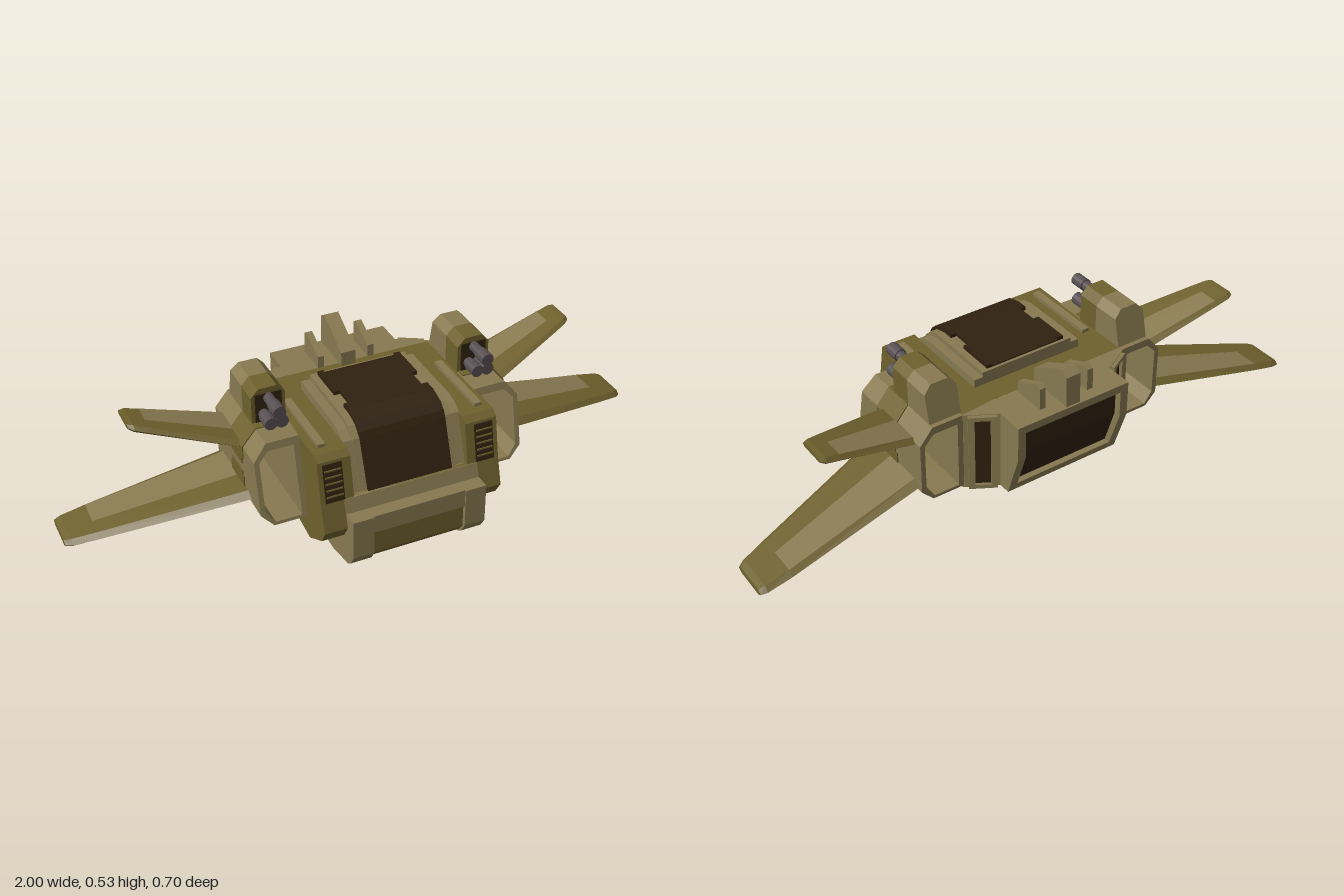
import * as THREE from 'three';

const mat = (name, color) => {
  const m = new THREE.MeshStandardMaterial({ color });
  m.name = name;
  return m;
};

const vec = pts => pts.map(p => new THREE.Vector2(...p));
const extrude = (shape, depth) => new THREE.ExtrudeGeometry(shape, { depth, bevelEnabled: false });

// Extrudes a [z, y] side profile across x0..x1
const prism = (points, x0, x1) =>
  extrude(new THREE.Shape(vec(points)), x1 - x0).rotateY(-Math.PI / 2).translate(x1, 0, 0);

// Box given by its minimum and maximum corners
const box = (x0, x1, y0, y1, z0, z1) => new THREE.BoxGeometry(x1 - x0, y1 - y0, z1 - z0)
  .translate((x0 + x1) / 2, (y0 + y1) / 2, (z0 + z1) / 2);

// Faceted copy, optionally mirrored to the other side
function faceted(geo, mirror) {
  const src = geo.index ? geo.toNonIndexed() : geo;
  const a = Float32Array.from(src.attributes.position.array);
  if (mirror) {
    for (let i = 0; i < a.length; i += 9) {
      for (let k = 0; k < 3; k++) {
        const t = a[i + 3 + k];
        a[i + 3 + k] = a[i + 6 + k];
        a[i + 6 + k] = t;
      }
      for (let k = 0; k < 9; k += 3) a[i + k] *= -1;
    }
  }
  const g = new THREE.BufferGeometry();
  g.setAttribute('position', new THREE.BufferAttribute(a, 3));
  src.groups.forEach(r => g.addGroup(r.start, r.count, r.materialIndex));
  g.computeVertexNormals();
  return g;
}

// Wing lofted through stations [x, y, zFront, zBack, thickness];
// material 0 on the leading edge, tip and underside, 1 on the rear upper skin
function wing(stations) {
  const ring = ([x, y, f, b, t]) => {
    const at = (u, v) => new THREE.Vector3(x, y + v * t, f + (b - f) * u);
    return [at(0, 0), at(0.1, 0.5), at(0.42, 0.5), at(0.9, 0.5), at(1, 0), at(0.9, -0.5), at(0.1, -0.5)];
  };
  const rings = stations.map(ring), n = 7, main = [], patch = [];
  for (let s = 0; s < rings.length - 1; s++) {
    for (let i = 0; i < n; i++) {
      const j = (i + 1) % n, out = i === 2 && s === 0 ? patch : main;
      const [a, b, c, d] = [rings[s][i], rings[s][j], rings[s + 1][j], rings[s + 1][i]];
      out.push(a, c, b, a, d, c);
    }
  }
  const first = rings[0], last = rings[rings.length - 1];
  for (let i = 1; i < n - 1; i++) {
    main.push(first[0], first[i], first[i + 1], last[0], last[i + 1], last[i]);
  }
  const g = new THREE.BufferGeometry().setFromPoints([...main, ...patch]);
  g.addGroup(0, main.length, 0);
  g.addGroup(main.length, patch.length, 1);
  return g;
}

export function createModel() {
  const olive = mat('olive', 0x6e602d), tan = mat('tan', 0x877950);
  const dark = mat('dark brown', 0x302110), steel = mat('gun grey', 0x574e51);
  const model = new THREE.Group();
  model.name = 'gunship';
  const add = (name, geo, material, mirror = false) => {
    const mesh = new THREE.Mesh(faceted(geo, mirror), material);
    mesh.name = name;
    model.add(mesh);
  };
  const pair = (name, geo, material) => {
    add(name + 'Left', geo, material);
    add(name + 'Right', geo, material, true);
  };

  // Hull: two cheeks with a lower middle that holds the canopy
  const belly = [[0.312, 0.165], [0.285, 0.12], [0.19, 0.065], [-0.03, 0.1], [-0.2, 0.13], [-0.2, 0.408]];
  pair('hullCheek', prism([[0.24, 0.408], [0.26, 0.39], [0.285, 0.26], ...belly], 0.192, 0.3), olive);
  add('hullMiddle', prism([[0.19, 0.408], [0.25, 0.256], [0.286, 0.256], ...belly], -0.192, 0.192), olive);
  add('noseLip', prism([[0.288, 0.256], [0.304, 0.205], [0.28, 0.205], [0.27, 0.256]], -0.225, 0.225), tan);
  pair('roofRail', box(0.25, 0.275, 0.4, 0.42, -0.06, 0.21), tan);

  // Canopy frame and glazing
  add('canopyFrame', prism([[0.272, 0.255], [0.216, 0.41], [0.184, 0.44],
    [0.14, 0.452], [-0.11, 0.452], [-0.11, 0.4], [0.19, 0.255]], -0.165, 0.165), tan);
  pair('canopyShoulder', prism([[0.27, 0.255], [0.213, 0.408], [0.18, 0.428], [0.14, 0.436],
    [-0.11, 0.436], [-0.11, 0.4], [0.19, 0.255]], 0.16, 0.195), tan);
  const glass = [[0.28, 0.256], [0.224, 0.41], [0.213, 0.43], [0.19, 0.45], [0.14, 0.464]];
  add('canopy', prism([...glass, [-0.07, 0.464], [-0.1, 0.456], [-0.1, 0.44], [0.16, 0.4], [0.25, 0.256]],
    -0.122, 0.122), dark);
  pair('canopyEdgeFront', prism([...glass, [0.1, 0.464], [0.1, 0.44], [0.16, 0.4], [0.25, 0.256]], 0.122, 0.142), dark);
  pair('canopyEdgeRear', box(0.122, 0.142, 0.44, 0.464, -0.1, 0.03), dark);

  // Slatted intakes on the nose
  pair('noseVent', prism([[0.265, 0.382], [0.289, 0.258], [0.28, 0.258], [0.255, 0.382]], 0.222, 0.284), dark);
  for (let i = 0; i < 5; i++) {
    const y = 0.275 + i * 0.021, z = 0.288 - (y - 0.26) * 0.19;
    pair('noseSlat' + i, box(0.226, 0.28, y, y + 0.005, z - 0.01, z + 0.003), olive);
  }

  // Chin: outer runners with a recessed middle
  pair('chinRunner', prism([[0.352, 0.21], [0.352, 0.075], [0.33, 0.04], [0.31, 0.025], [0.2, 0.002],
    [0.13, 0.004], [-0.04, 0.05], [-0.04, 0.11], [0.1, 0.21]], 0.155, 0.225), tan);
  add('chinPanel', prism([[0.338, 0.2], [0.338, 0.065], [0.315, 0.036], [0.2, 0.014], [0.13, 0.016],
    [-0.02, 0.056], [-0.02, 0.11], [0.1, 0.2]], -0.16, 0.16), olive);
  add('chinBar', prism([[0.347, 0.21], [0.347, 0.148], [0.28, 0.148], [0.28, 0.21]], -0.16, 0.16), tan);

  // Tapered rear hull with framed vents on the angled corners
  const taper = new THREE.Shape(vec([[-0.3, 0.19], [0.3, 0.19], [0.3, 0.205], [0.2, 0.262], [-0.2, 0.262], [-0.3, 0.205]]));
  add('rearHull', extrude(taper, 0.274).rotateX(-Math.PI / 2).translate(0, 0.134, 0), tan);
  const onBevel = (u, v, w, h, d) => new THREE.BoxGeometry(w, h, d).translate(u, v, 0)
    .rotateY(Math.atan2(0.495, -0.869)).translate(0.25, 0.271, -0.2335);
  pair('rearVent', onBevel(0, 0, 0.06, 0.25, 0.006), dark);
  [-1, 1].forEach((s, i) => {
    pair('rearVentPost' + i, onBevel(s * 0.034, 0, 0.02, 0.27, 0.026), tan);
    pair('rearVentSill' + i, onBevel(0, s * 0.128, 0.06, 0.014, 0.026), tan);
  });

  // Rear exhaust frame around a sunken panel
  const tail = [[-0.25, 0.408], [-0.352, 0.408], [-0.352, 0.29], [-0.3, 0.135], [-0.25, 0.135]];
  pair('tailCheek', prism(tail, 0.176, 0.204), tan);
  add('tailTop', prism([[-0.25, 0.408], [-0.352, 0.408], [-0.352, 0.382], [-0.25, 0.382]], -0.18, 0.18), tan);
  add('tailBottom', prism([[-0.25, 0.162], [-0.308, 0.162], [-0.3, 0.135], [-0.25, 0.135]], -0.18, 0.18), tan);
  add('tailPanel', prism([[-0.25, 0.39], [-0.328, 0.39], [-0.328, 0.29], [-0.285, 0.155], [-0.25, 0.155]], -0.178, 0.178), dark);

  // Roof fins
  add('centreFin', prism([[-0.18, 0.4], [-0.18, 0.456], [-0.315, 0.527], [-0.342, 0.51], [-0.346, 0.4]], -0.025, 0.025), tan);
  pair('sideFin', prism([[-0.2, 0.4], [-0.2, 0.448], [-0.295, 0.49], [-0.31, 0.48], [-0.312, 0.4]], 0.077, 0.098), tan);

  // Open side ducts with a raked front edge
  const ring = new THREE.Shape(vec([[0.295, 0.142], [0.41, 0.142], [0.449, 0.183], [0.449, 0.355], [0.405, 0.408], [0.295, 0.408]]));
  ring.holes.push(new THREE.Path(vec([[0.318, 0.152], [0.405, 0.152], [0.433, 0.19], [0.433, 0.35],
    [0.402, 0.383], [0.318, 0.383]])));
  const duct = extrude(ring, 1);
  const p = duct.attributes.position;
  for (let i = 0; i < p.count; i++) {
    p.setZ(i, p.getZ(i) > 0.5 ? 0.122 + (0.408 - p.getY(i)) * 0.215 : -0.204);
  }
  pair('sideDuct', duct, tan);

  // Camouflage band across the ducts
  const band = new THREE.Shape(vec([[0.3, 0.4], [0.4, 0.4], [0.445, 0.35], [0.445, 0.31], [0.452, 0.31],
    [0.452, 0.357], [0.407, 0.411], [0.3, 0.411]]));
  pair('ductBand', extrude(band, 0.11).translate(0, 0, -0.07), olive);
  pair('ductBandStep', box(0.445, 0.452, 0.29, 0.31, -0.06, 0.03), olive);
  pair('ductPatchLower', box(0.445, 0.452, 0.2, 0.245, -0.07, 0.04), olive);
  pair('ductPatchStep', box(0.445, 0.452, 0.245, 0.262, -0.06, 0.03), olive);

  // Gun pods: chamfered section, olive front and tan rear
  const pod = (z0, z1, rake) => {
    const s = new THREE.Shape(vec([[0.295, 0.39], [0.405, 0.39], [0.405, 0.5], [0.38, 0.527], [0.32, 0.527], [0.295, 0.5]]));
    const g = extrude(s, z1 - z0).translate(0, 0, z0);
    const q = g.attributes.position;
    for (let i = 0; i < q.count; i++) {
      if (q.getZ(i) < z0 + 0.001) q.setZ(i, z0 - rake * (0.527 - q.getY(i)));
    }
    return g;
  };
  pair('podFront', pod(-0.07, 0.01, 0), olive);
  pair('podRear', pod(-0.16, -0.07, 0.24), tan);
  pair('podFace', box(0.307, 0.393, 0.412, 0.508, 0.008, 0.014), dark);

  // Gun barrels with thicker muzzles
  [[0.35, 0.493, 0.107], [0.332, 0.44, 0.079], [0.368, 0.44, 0.079]].forEach(([x, y, tip], i) => {
    const tube = (r, z0, z1) => new THREE.CylinderGeometry(r, r, z1 - z0, 12)
      .rotateX(Math.PI / 2).translate(x, y, (z0 + z1) / 2);
    pair('barrel' + i, tube(0.017, 0, tip - 0.04), steel);
    pair('muzzle' + i, tube(0.021, tip - 0.05, tip), steel);
  });

  // Wings
  pair('lowerWing', wing([[0.435, 0.198, 0.098, -0.19, 0.03], [0.9, 0.098, -0.035, -0.222, 0.028],
    [0.98, 0.081, -0.06, -0.222, 0.028], [1, 0.077, -0.075, -0.215, 0.022]]), [olive, tan]);
  pair('upperWing', wing([[0.435, 0.346, 0.035, -0.177, 0.026], [0.7, 0.42, -0.055, -0.197, 0.024],
    [0.745, 0.432, -0.072, -0.199, 0.024], [0.762, 0.437, -0.085, -0.192, 0.016]]), [olive, tan]);

  return model;
}
